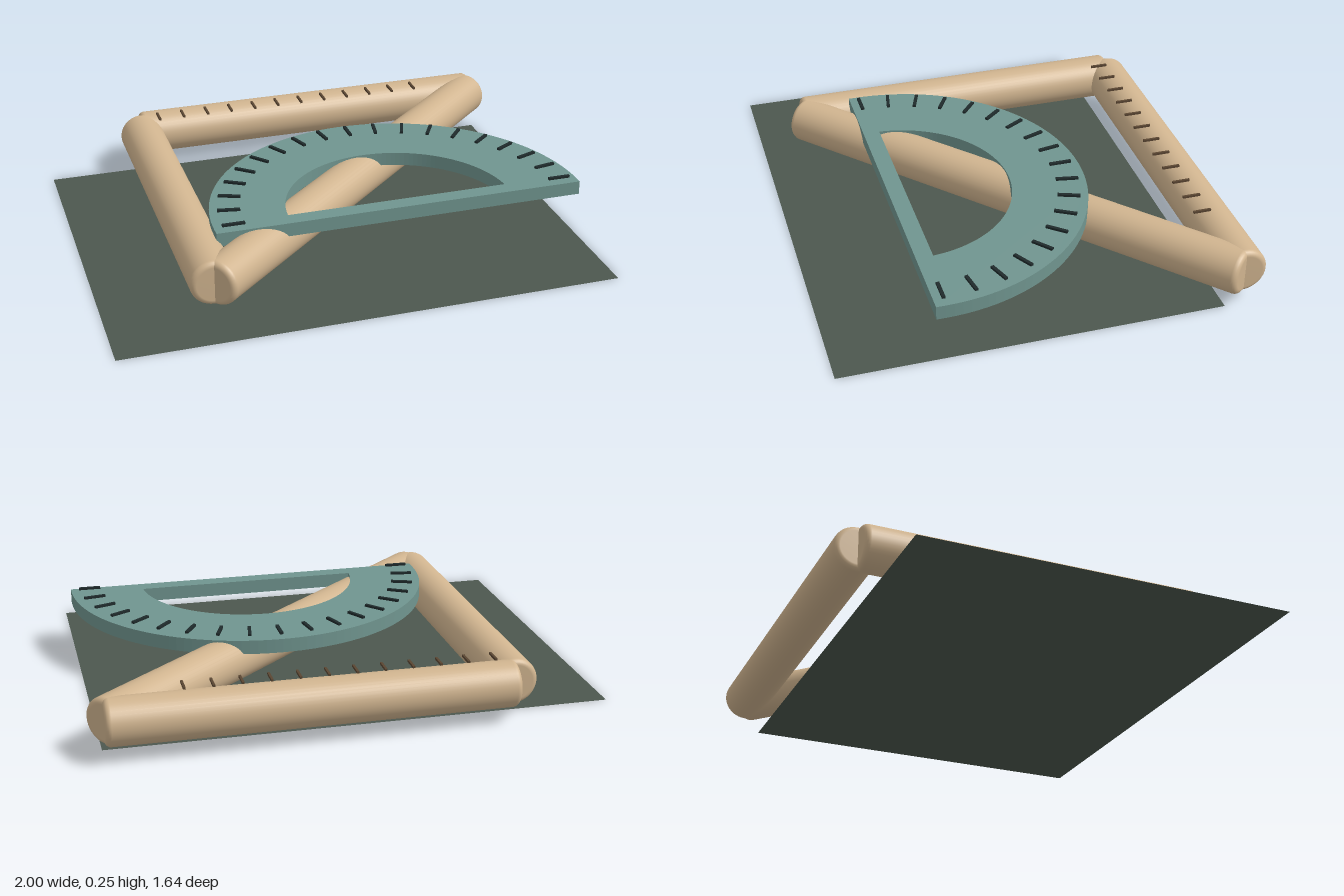
import * as THREE from 'three';

const material = (name, color, side = THREE.FrontSide) => {
  const m = new THREE.MeshStandardMaterial({ color, side });
  m.name = name;
  return m;
};

export function createModel() {
  const model = new THREE.Group();
  model.name = 'drawingSet';
  const wood = material('pale wood', 0xd0b48f);
  const teal = material('teal plastic', 0x70958f);
  const ink = material('dark ink', 0x1f2a2b);
  const scale = material('brown scale', 0x5a4632);
  const felt = material('dark green sheet', 0x4c574e, THREE.DoubleSide);

  const add = (name, geometry, mat, parent = model) => {
    const mesh = new THREE.Mesh(geometry, mat);
    mesh.name = name;
    parent.add(mesh);
    return mesh;
  };

  // Flat sheet underneath
  const sheet = add('sheet', new THREE.PlaneGeometry(1.947, 1.483).rotateX(-Math.PI / 2), felt);
  sheet.position.set(-0.026, 0, 0.077);

  // Round rods with softened ends, laid between two floor points
  const R = 0.09, B = 0.022, Y = 0.14;
  const rod = (name, [x1, z1], [x2, z2]) => {
    const a = new THREE.Vector3(x1, Y, z1), b = new THREE.Vector3(x2, Y, z2);
    const half = a.distanceTo(b) / 2;
    const end = [];
    for (let i = 0; i <= 5; i++) {
      const t = (i / 5) * Math.PI / 2;
      end.push([R - B + B * Math.sin(t), half - B + B * Math.cos(t)]);
    }
    const profile = [
      new THREE.Vector2(0, -half),
      ...end.map(([r, y]) => new THREE.Vector2(r, -y)),
      ...end.reverse().map(([r, y]) => new THREE.Vector2(r, y)),
      new THREE.Vector2(0, half),
    ];
    const mesh = add(name, new THREE.LatheGeometry(profile, 40), wood);
    mesh.position.copy(a).add(b).multiplyScalar(0.5);
    mesh.quaternion.setFromUnitVectors(new THREE.Vector3(0, 1, 0), b.sub(a).normalize());
  };
  const corner = [-0.595, -0.735], nearEnd = [-0.595, 0.642], farEnd = [0.945, -0.735];
  rod('backRod', corner, farEnd);
  rod('sideRod', corner, nearEnd);
  rod('diagonalRod', nearEnd, farEnd);

  // Ruler marks along the back rod
  const rulerMarks = new THREE.Group();
  rulerMarks.name = 'rulerMarks';
  model.add(rulerMarks);
  for (let i = 0; i < 12; i++) {
    const mark = add('rulerMark', new THREE.BoxGeometry(0.009, 0.009, 0.07), scale, rulerMarks);
    mark.position.set(-0.522 + i * 0.1065, 0.231, -0.68);
  }

  // Protractor: half ring joined to a straight base bar
  const protractor = new THREE.Group();
  protractor.name = 'protractor';
  protractor.position.set(0.204, 0, 0.41);
  model.add(protractor);
  const outer = 0.742, inner = 0.447, low = -0.036, sill = 0.03;
  const shape = new THREE.Shape();
  shape.moveTo(-outer, low);
  shape.lineTo(outer, low);
  shape.absarc(0, 0, outer, 0, Math.PI, false);
  shape.closePath();
  const start = Math.asin(sill / inner);
  const opening = new THREE.Path();
  opening.absarc(0, 0, inner, start, Math.PI - start, false);
  opening.closePath();
  shape.holes.push(opening);
  const body = new THREE.ExtrudeGeometry(shape, { depth: 0.055, bevelEnabled: false, curveSegments: 36 });
  body.rotateX(-Math.PI / 2).translate(0, 0.182, 0);
  add('protractorBody', body, teal, protractor);

  // Degree marks, one every ten degrees
  for (let i = 0; i <= 18; i++) {
    const a = (i / 18) * Math.PI;
    const mark = add('degreeMark', new THREE.BoxGeometry(0.088, 0.009, 0.013), ink, protractor);
    mark.position.set(0.667 * Math.cos(a), 0.249, -0.667 * Math.sin(a));
    mark.rotation.y = a;
  }
  return model;
}
